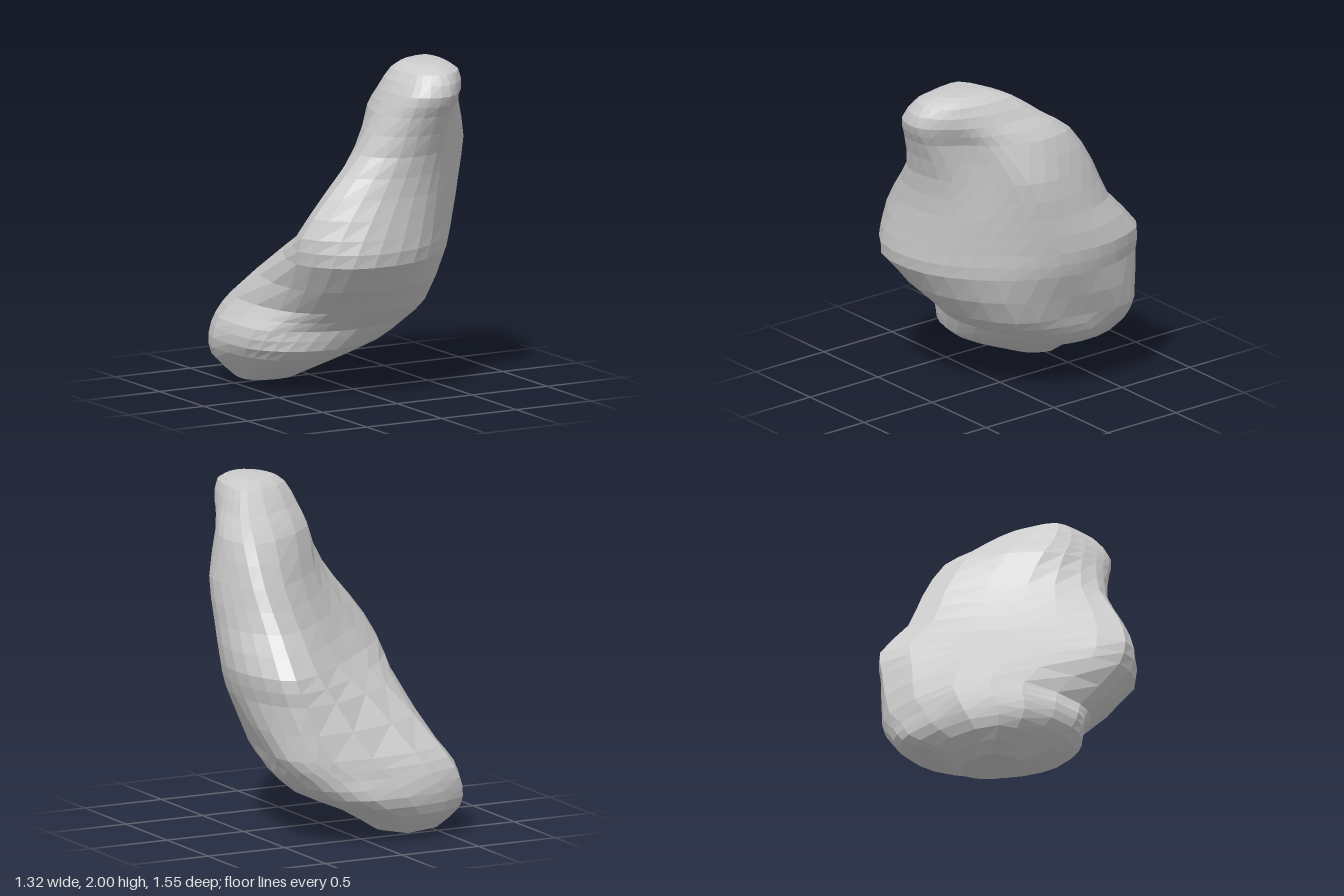
import * as THREE from 'three';

// Directions of the eight radii in degrees, from +x round through +z
const ANGLES = [0, 45, 90, 125, 155, 220, 300, 325].map(THREE.MathUtils.degToRad);

// Each slice: height, centre x, centre z, then the eight radii
const SLICES = [
  [0.04, -0.32, -0.47, .20, .18, .17, .18, .19, .17, .15, .17],
  [0.16, -0.30, -0.40, .37, .36, .38, .36, .31, .36, .37, .37],
  [0.28, -0.20, -0.33, .54, .49, .49, .50, .48, .50, .51, .56],
  [0.40, -0.10, -0.30, .56, .55, .52, .54, .57, .56, .51, .59],
  [0.52, 0.00, -0.20, .49, .53, .56, .58, .57, .61, .59, .62],
  [0.84, 0.05, 0.02, .54, .48, .58, .70, .67, .44, .77, .68],
  [1.00, 0.10, 0.05, .52, .44, .55, .69, .72, .31, .77, .67],
  [1.23, 0.15, 0.15, .46, .36, .44, .56, .62, .27, .65, .58],
  [1.47, 0.20, 0.25, .39, .27, .36, .46, .46, .27, .61, .50],
  [1.71, 0.20, 0.38, .28, .21, .33, .38, .33, .29, .58, .44],
  [1.83, 0.20, 0.46, .23, .22, .31, .33, .27, .27, .48, .33],
  [1.95, 0.20, 0.49, .18, .19, .23, .22, .18, .21, .33, .24],
  [1.99, 0.20, 0.47, .12, .12, .14, .12, .11, .14, .19, .15],
];
const SIDES = 24;
const ROWS = (SLICES.length - 1) * 2;

// Smooth closed outline of one slice
function sliceRing([y, cx, cz, ...radii]) {
  const corners = radii.map((r, k) => new THREE.Vector3(
    cx + r * Math.cos(ANGLES[k]), y, cz + r * Math.sin(ANGLES[k])));
  const curve = new THREE.CatmullRomCurve3(corners, true);
  return Array.from({ length: SIDES }, (_, i) => curve.getPoint(i / SIDES));
}

// Skin the slices with vertical curves and close both ends with shallow caps
function boulderGeometry() {
  const rings = SLICES.map(sliceRing);
  const positions = [];
  const index = [];
  const columns = rings[0].map((_, i) => new THREE.CatmullRomCurve3(rings.map((r) => r[i])));
  for (let j = 0; j <= ROWS; j++) {
    for (const column of columns) positions.push(...column.getPoint(j / ROWS).toArray());
  }
  const bottom = positions.length / 3;
  const top = bottom + 1;
  positions.push(-0.31, 0, -0.49, 0.2, 2, 0.46);

  for (let i = 0; i < SIDES; i++) {
    const n = (i + 1) % SIDES;
    for (let j = 0; j < ROWS; j++) {
      const a = j * SIDES + i, b = j * SIDES + n;
      const c = a + SIDES, d = b + SIDES;
      index.push(a, c, b, b, c, d);
    }
    index.push(bottom, i, n);
    index.push(top, ROWS * SIDES + n, ROWS * SIDES + i);
  }
  const geometry = new THREE.BufferGeometry();
  geometry.setAttribute('position', new THREE.Float32BufferAttribute(positions, 3));
  geometry.setIndex(index);
  geometry.computeVertexNormals();
  return geometry;
}

export function createModel() {
  const group = new THREE.Group();
  group.name = 'rock';
  const material = new THREE.MeshStandardMaterial({ color: 0xcccccc, flatShading: true });
  const boulder = new THREE.Mesh(boulderGeometry(), material);
  boulder.name = 'boulder';
  group.add(boulder);
  return group;
}
